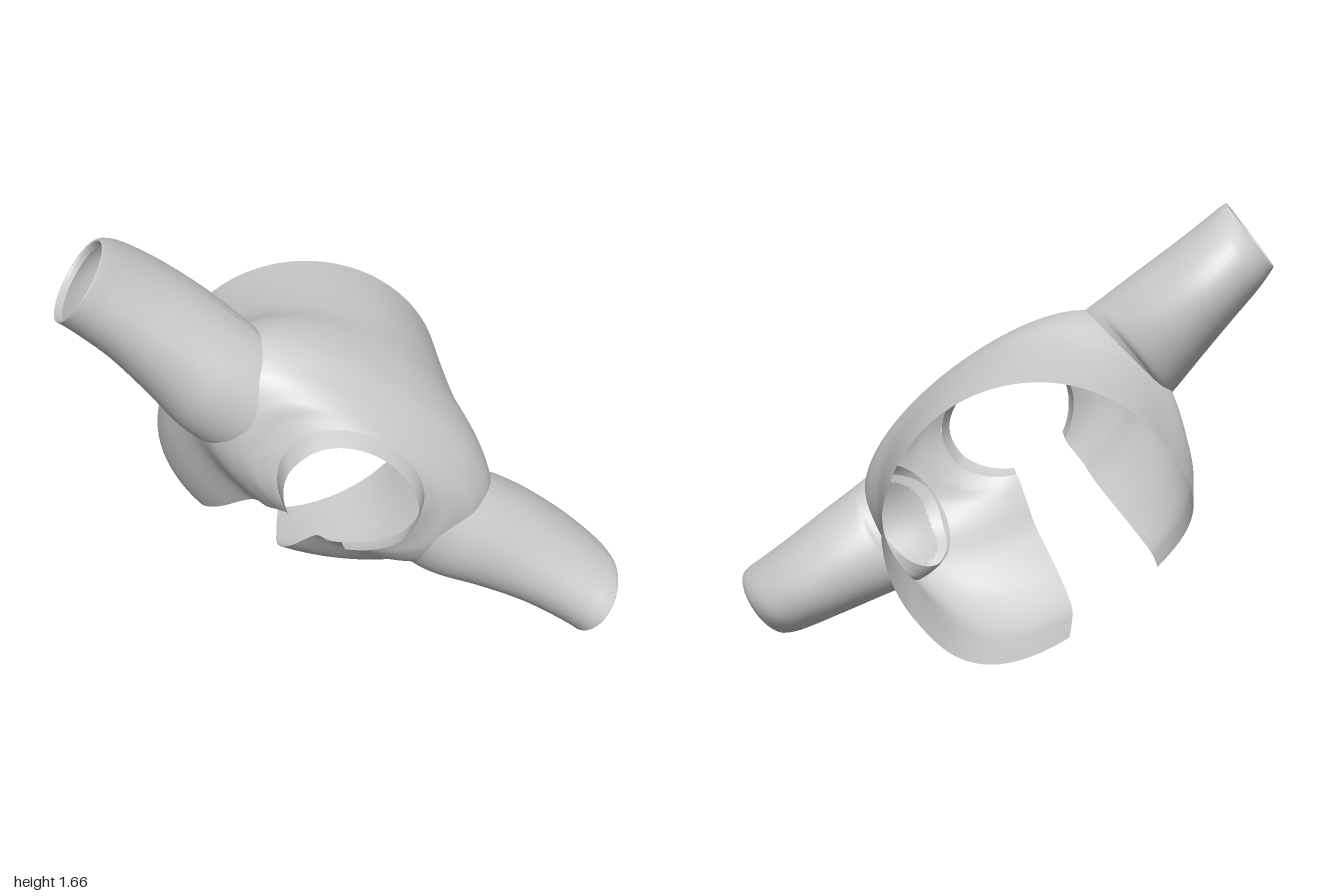
import * as THREE from 'three';

const material = new THREE.MeshStandardMaterial({ color: 0xcccccc, side: THREE.DoubleSide });

// Smoothly resample rows of section parameters, row 0 to last
function sampleRows(rows, t) {
  const f = t * (rows.length - 1);
  const i = Math.min(Math.floor(f), rows.length - 2);
  const k = f - i;
  const at = (n) => rows[Math.max(0, Math.min(rows.length - 1, n))];
  return rows[i].map((p1, c) => {
    const p0 = at(i - 1)[c], p2 = at(i + 1)[c], p3 = at(i + 2)[c];
    return 0.5 * (2 * p1 + (p2 - p0) * k + (2 * p0 - 5 * p1 + 4 * p2 - p3) * k * k
      + (3 * p1 - p0 - 3 * p2 + p3) * k * k * k);
  });
}

// Skin through cross-sections; point(row, s) returns [x, y, z], isHole(x, y, z) leaves faces out
function loft(name, rows, rings, segments, flip, point, isHole = () => false) {
  const pos = [], idx = [];
  const cols = segments + 1;
  for (let r = 0; r <= rings; r++) {
    const row = sampleRows(rows, r / rings);
    for (let s = 0; s < cols; s++) pos.push(...point(row, s / segments));
  }
  for (let r = 0; r < rings; r++) {
    for (let s = 0; s < segments; s++) {
      const a = r * cols + s, b = a + 1, c = a + cols, d = c + 1;
      if (isHole(...pos.slice(a * 3, a * 3 + 3))) continue;
      if (flip) idx.push(a, c, b, b, c, d);
      else idx.push(a, b, c, b, d, c);
    }
  }
  const geometry = new THREE.BufferGeometry();
  geometry.setAttribute('position', new THREE.Float32BufferAttribute(pos, 3));
  geometry.setIndex(idx);
  geometry.computeVertexNormals();
  const mesh = new THREE.Mesh(geometry, material);
  mesh.name = name;
  return mesh;
}

// Open oval running around the back from one front edge to the other
// row: z, half width, back depth, front depth, depth centre, half gap,
// back and front fullness (small is squarer), front lift (more on the right), side lift
function openOval([z, a, back, front, cv, gap, backFull, frontFull, frontLift, sideLift], s) {
  const start = Math.asin(gap / a);
  const t = -Math.PI / 2 + start + s * (2 * Math.PI - 2 * start);
  const sn = Math.sin(t), cs = Math.cos(t);
  const v = sn > 0 ? back * Math.pow(sn, backFull) : -front * Math.pow(-sn, frontFull);
  const forward = Math.max(0, -sn);
  const lift = frontLift * forward * forward * (1 - 0.35 * cs) + sideLift * cs * cs;
  return [a * cs, cv + v, z + lift];
}

// Armhole opening in the side of the body
const inArmhole = (u, v, z) =>
  Math.abs(u) > 0.4 && Math.hypot((v + 0.065) / 0.2, (z - 0.175) / 0.185) < 1;

export function createModel() {
  const group = new THREE.Group();
  group.name = 'openJacket';
  const jacket = new THREE.Group();
  jacket.name = 'jacket';
  jacket.rotation.z = -Math.atan2(0.622, 0.783);
  jacket.position.set(0.01, 0.85, 0);
  group.add(jacket);

  // Body from hem to neckline
  const body = [
    [-0.5, 0.53, 0.52, 0.475, -0.22, 0.2, 1, 0.7, 0.28, 0],
    [-0.3, 0.54, 0.53, 0.475, -0.22, 0.19, 0.95, 0.65, 0.19, 0],
    [-0.1, 0.565, 0.53, 0.46, -0.22, 0.18, 0.8, 0.68, 0.08, 0],
    [0.06, 0.605, 0.495, 0.395, -0.19, 0.165, 0.6, 0.9, 0.02, 0],
    [0.2, 0.61, 0.42, 0.275, -0.14, 0.145, 0.56, 1.1, 0, 0],
    [0.31, 0.55, 0.34, 0.235, -0.11, 0.135, 0.62, 1.15, 0, 0],
    [0.37, 0.44, 0.28, 0.215, -0.085, 0.125, 0.72, 1.15, 0, 0],
    [0.395, 0.345, 0.25, 0.21, -0.07, 0.12, 0.75, 1.2, 0.01, 0],
    [0.41, 0.275, 0.23, 0.21, -0.06, 0.12, 0.78, 1.25, 0.02, 0.01],
  ];
  jacket.add(loft('body', body, 120, 200, false, openOval, inArmhole));

  // Standing collar, highest at the sides
  const collar = [
    [0.41, 0.275, 0.23, 0.21, -0.06, 0.12, 0.78, 1.25, 0.02, 0.01],
    [0.44, 0.265, 0.215, 0.205, -0.06, 0.12, 0.78, 1.25, 0.015, 0.02],
    [0.465, 0.252, 0.2, 0.2, -0.06, 0.12, 0.78, 1.25, 0.01, 0.033],
  ];
  jacket.add(loft('collar', collar, 6, 72, false, openOval));

  // Sleeves: distance out, depth centre, half depth, z centre, half height, tilt
  const sleeve = [
    [0.485, -0.065, 0.213, 0.178, 0.2, 0.075],
    [0.53, -0.065, 0.219, 0.173, 0.208, 0.055],
    [0.6, -0.06, 0.215, 0.162, 0.222, 0.02],
    [0.75, -0.038, 0.195, 0.145, 0.23, 0],
    [0.92, -0.018, 0.172, 0.145, 0.232, 0],
    [1.06, -0.006, 0.157, 0.17, 0.222, 0],
    [1.13, 0, 0.148, 0.2, 0.205, 0],
    [1.16, 0, 0.14, 0.225, 0.185, 0],
    [1.135, 0, 0.13, 0.22, 0.175, 0],
  ];
  for (const side of [1, -1]) {
    jacket.add(loft(side > 0 ? 'leftSleeve' : 'rightSleeve', sleeve, 56, 48, side < 0,
      ([u, cv, hv, cz, hz, tilt], s) => {
        const t = s * 2 * Math.PI;
        return [side * (u - tilt * Math.sin(t)), cv + hv * Math.cos(t), cz + hz * Math.sin(t)];
      }));
  }
  return group;
}
